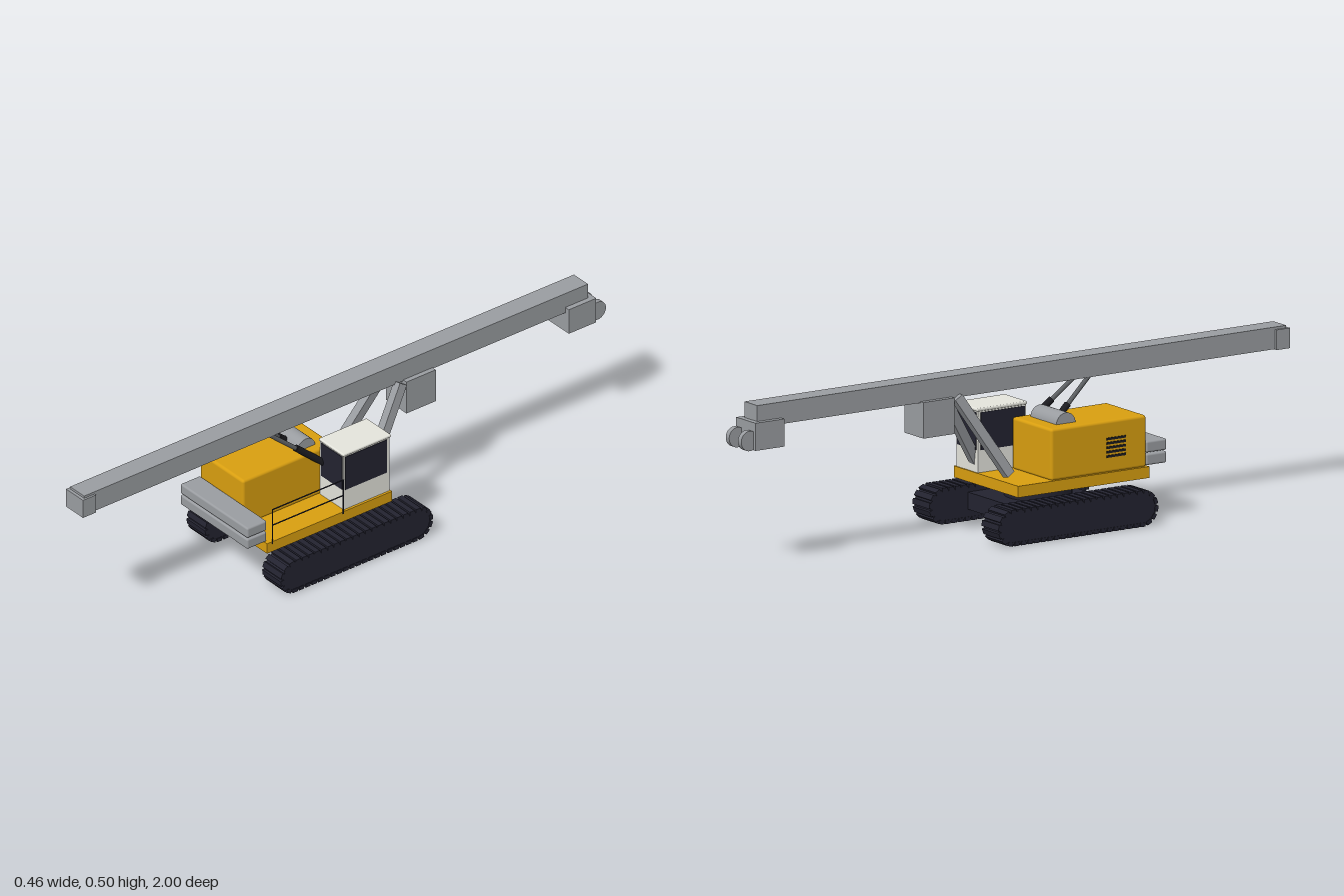
import * as THREE from 'three';
import { RoundedBoxGeometry } from 'three/addons/geometries/RoundedBoxGeometry.js';

const mat = (name, color) => {
  const m = new THREE.MeshStandardMaterial({ color });
  m.name = name;
  return m;
};

export function createModel() {
  const yellow = mat('yellow paint', 0xd99f10);
  const steel = mat('grey steel', 0x9a9da1);
  const white = mat('cab white', 0xe4e4dc);
  const dark = mat('dark undercarriage', 0x232330);
  const rodGrey = mat('rod grey', 0x5c5f62);
  const black = mat('black', 0x1b1b20);

  const model = new THREE.Group();
  model.name = 'drillRig';

  const add = (name, geo, material, parent = model) => {
    const m = new THREE.Mesh(geo, material);
    m.name = name;
    parent.add(m);
    return m;
  };
  // box given by its extents; r > 0 rounds the edges
  const box = (name, material, [x0, x1], [y0, y1], [z0, z1], r = 0, parent = model) => {
    const s = [x1 - x0, y1 - y0, z1 - z0];
    const geo = r ? new RoundedBoxGeometry(...s, 3, r) : new THREE.BoxGeometry(...s);
    const m = add(name, geo, material, parent);
    m.position.set((x0 + x1) / 2, (y0 + y1) / 2, (z0 + z1) / 2);
    return m;
  };
  // geometry along +y stretched between two points
  const between = (name, material, a, b, makeGeo, parent = model) => {
    const p = new THREE.Vector3(...a), q = new THREE.Vector3(...b);
    const d = q.clone().sub(p);
    const m = add(name, makeGeo(d.length()), material, parent);
    m.position.copy(p).add(q).multiplyScalar(0.5);
    m.quaternion.setFromUnitVectors(new THREE.Vector3(0, 1, 0), d.normalize());
    return m;
  };
  const rod = (r, seg = 16) => (len) => new THREE.CylinderGeometry(r, r, len, seg);

  // crawler tracks: stadium belt with shoes spaced along it
  const R = 0.05, half = 0.235, zMid = 0.1, yMid = 0.056;
  const belt = new THREE.Shape();
  belt.absarc(half, 0, R, -Math.PI / 2, Math.PI / 2, false);
  belt.absarc(-half, 0, R, Math.PI / 2, Math.PI * 1.5, false);
  const beltGeo = new THREE.ExtrudeGeometry(belt, { depth: 0.086, bevelEnabled: false, curveSegments: 16 });
  beltGeo.translate(0, 0, -0.043).rotateY(-Math.PI / 2);
  const shoeGeo = new THREE.BoxGeometry(0.09, 0.012, 0.018);
  const arc = Math.PI * R, straight = 2 * half, total = 2 * (arc + straight), shoes = 52;
  for (const side of [-1, 1]) {
    const track = new THREE.Group();
    track.name = side > 0 ? 'leftTrack' : 'rightTrack';
    track.position.set(side * 0.183, yMid, zMid);
    model.add(track);
    add('trackBelt', beltGeo, dark, track);
    for (let i = 0; i < shoes; i++) {
      let s = (i / shoes) * total, flip = 1;
      if (s >= total / 2) { s -= total / 2; flip = -1; }
      // first the top run, then the rounded end; the other half is turned by 180 degrees
      const a = s < straight ? 0 : (s - straight) / R;
      const z = s < straight ? s - half : half + Math.sin(a) * R;
      const shoe = add('trackShoe', shoeGeo, dark, track);
      shoe.position.set(0, flip * Math.cos(a) * R, flip * z);
      shoe.rotation.x = a;
    }
  }

  // car body and slewing ring
  box('carBody', dark, [-0.142, 0.142], [0.035, 0.088], [-0.05, 0.25]);
  add('slewRing', new THREE.CylinderGeometry(0.103, 0.103, 0.05, 40), dark).position.set(0, 0.109, 0.11);

  // deck, engine house and counterweights
  box('deck', yellow, [-0.17, 0.17], [0.132, 0.167], [-0.08, 0.398]);
  box('engineHouse', yellow, [-0.164, 0.046], [0.165, 0.325], [0.045, 0.392], 0.009);
  box('lowerCounterweight', steel, [-0.163, 0.162], [0.169, 0.204], [0.392, 0.467], 0.006);
  box('upperCounterweight', steel, [-0.163, 0.162], [0.208, 0.243], [0.392, 0.467], 0.006);
  for (let i = 0; i < 5; i++) {
    const y = 0.212 + i * 0.0135;
    box('ventSlat', black, [-0.167, -0.161], [y, y + 0.007], [0.245, 0.315]);
  }

  // winch drum on the house roof
  const drum = add('winchDrum', new THREE.CylinderGeometry(0.035, 0.035, 0.137, 32), steel);
  drum.rotation.z = Math.PI / 2;
  drum.position.set(-0.052, 0.323, 0.128);

  // operator cab with window plates on all sides
  const cab = new THREE.Group();
  cab.name = 'cab';
  model.add(cab);
  box('cabBody', white, [0.049, 0.162], [0.167, 0.357], [-0.076, 0.099], 0, cab);
  box('cabRoof', white, [0.046, 0.166], [0.356, 0.366], [-0.081, 0.103], 0.004, cab);
  const glassY = [0.236, 0.352];
  box('frontWindow', dark, [0.056, 0.156], glassY, [0.097, 0.101], 0, cab);
  box('backWindow', dark, [0.056, 0.156], glassY, [-0.078, -0.074], 0, cab);
  box('leftWindow', dark, [0.16, 0.164], glassY, [-0.066, 0.094], 0, cab);
  box('rightWindow', dark, [0.047, 0.051], glassY, [-0.066, 0.094], 0, cab);

  // handrail beside the house
  const rail = new THREE.Group();
  rail.name = 'handrail';
  model.add(rail);
  for (const y of [0.225, 0.28])
    between('railBar', dark, [0.17, y, 0.107], [0.17, y, 0.377], rod(0.002, 8), rail);
  for (const z of [0.107, 0.377])
    between('railPost', dark, [0.17, 0.16, z], [0.17, 0.281, z], rod(0.002, 8), rail);

  // mast with its end cap, support block and head
  box('mast', steel, [-0.034, 0.034], [0.432, 0.5], [-0.937, 0.99]);
  box('mastEndCap', steel, [-0.041, 0.041], [0.43, 0.492], [0.95, 1.0]);
  box('mastBracket', steel, [-0.05, 0.05], [0.325, 0.436], [-0.342, -0.23]);
  box('mastHead', steel, [-0.051, 0.051], [0.366, 0.451], [-0.955, -0.85]);
  for (const side of [-1, 1]) {
    const sheave = add('headSheave', new THREE.CylinderGeometry(0.031, 0.031, 0.018, 28), steel);
    sheave.rotation.z = Math.PI / 2;
    sheave.position.set(side * 0.032, 0.396, -0.969);

    // rear support legs
    between('supportLeg', steel, [side * 0.084, 0.185, -0.055], [side * 0.04, 0.434, -0.215],
      (len) => new THREE.BoxGeometry(0.028, len, 0.03));

    // lifting cylinders
    between('cylinderRod', rodGrey, [side * 0.027, 0.434, 0.275], [side * 0.044, 0.35, 0.175], rod(0.007));
    between('cylinderBarrel', black, [side * 0.042, 0.362, 0.188], [side * 0.058, 0.28, 0.092], rod(0.0105));
  }

  return model;
}
